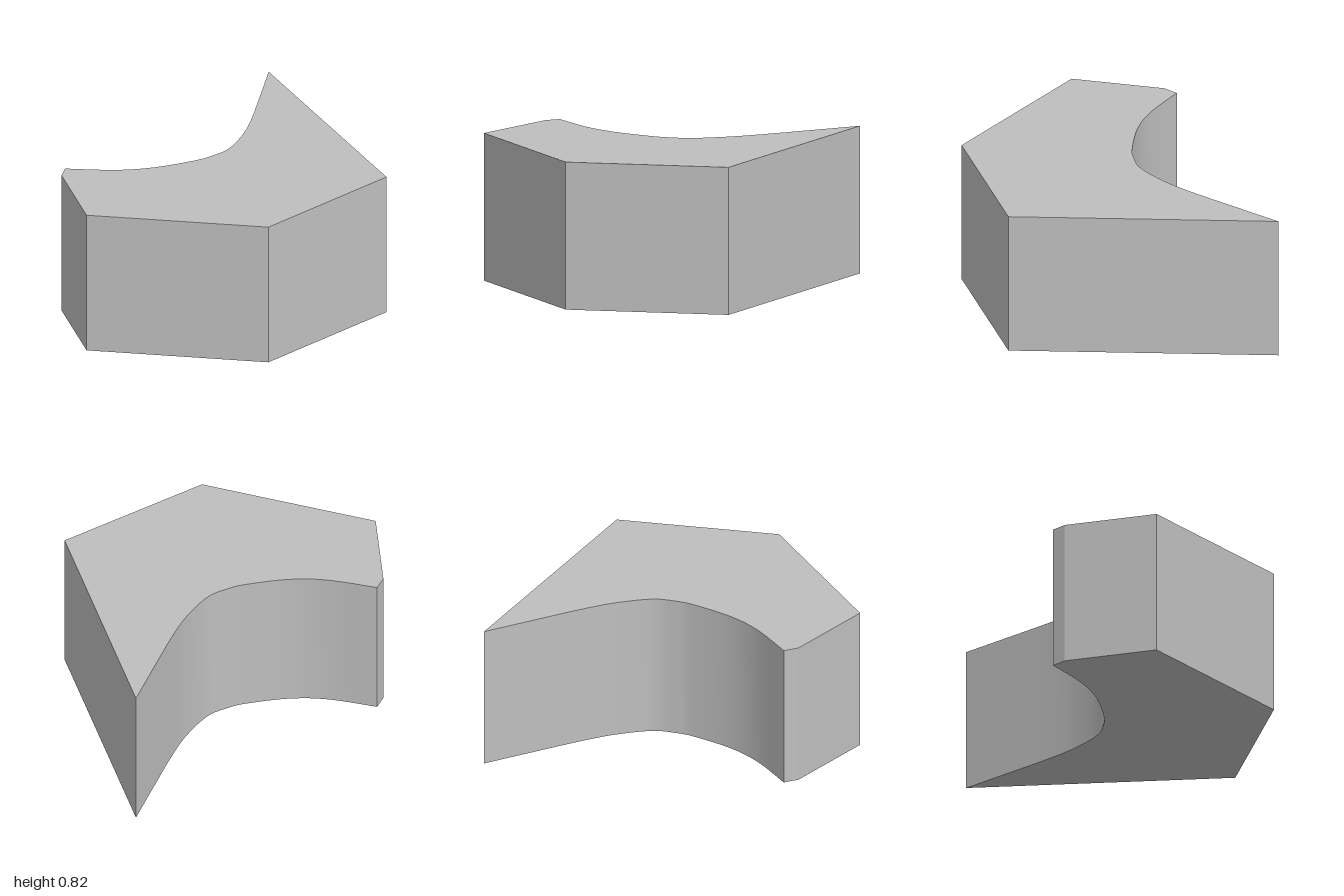
import * as THREE from 'three';
import { toCreasedNormals } from 'three/addons/utils/BufferGeometryUtils.js';

const HEIGHT = 0.825;

export function createModel() {
  const model = new THREE.Group();
  model.name = 'curvedBlock';
  const grey = new THREE.MeshStandardMaterial({ color: 0xbfbfbf });
  grey.name = 'plain grey';

  // Plan outline in (x, z); the shape's y is -z
  const p = (x, z) => new THREE.Vector2(x, -z);
  const outline = new THREE.Shape();
  outline.moveTo(-0.05, 1);
  // Hollow side, sweeping from the back tip to the right end
  outline.splineThru([
    [-0.03, -0.7], [-0.012, -0.4], [-0.014, -0.2], [-0.05, 0], [-0.12, 0.11],
    [-0.2, 0.19], [-0.4, 0.325], [-0.6, 0.403], [-0.875, 0.447],
  ].map(([x, z]) => p(x, z)));
  // Straight outer sides
  for (const [x, z] of [[-0.875, 0.535], [-0.63, 1], [0.38, 0.93], [0.875, 0.165]]) {
    outline.lineTo(x, -z);
  }
  outline.closePath();

  // Upright prism, smooth along the hollow and sharp at the corners
  const solid = new THREE.ExtrudeGeometry(outline, {
    depth: HEIGHT, bevelEnabled: false, curveSegments: 5,
  });
  solid.rotateX(-Math.PI / 2);
  const block = new THREE.Mesh(toCreasedNormals(solid, 0.3), grey);
  block.name = 'block';
  model.add(block);
  return model;
}
